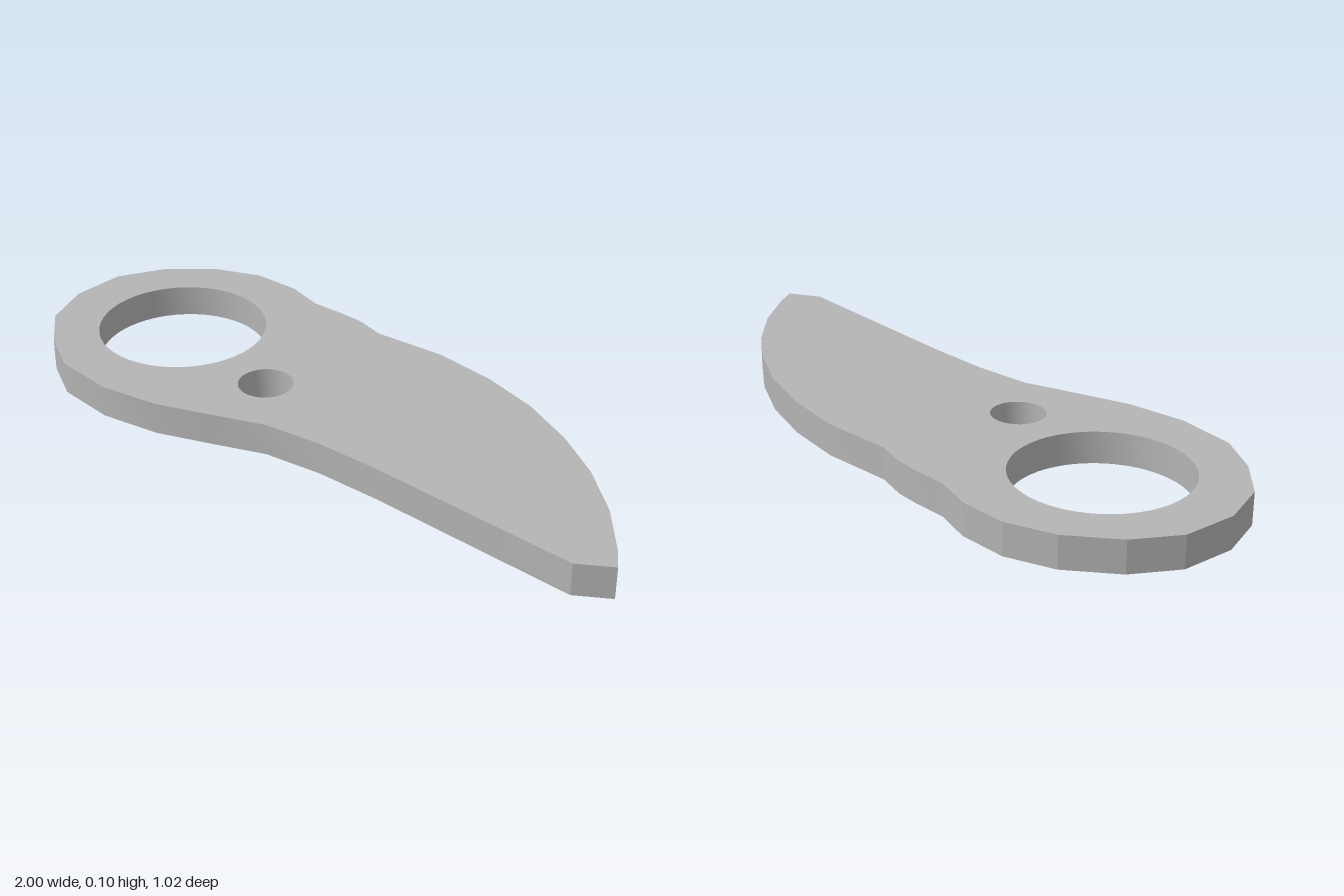
import * as THREE from 'three';
import { toCreasedNormals } from 'three/addons/utils/BufferGeometryUtils.js';

const THICKNESS = 0.097;

// Outline seen from above, as [x, z]
const OUTLINE = [
  // tip and lower edge
  [1, 0.47], [0.895, 0.505], [0.285, 0.343], [0.09, 0.3], [-0.09, 0.28], [-0.26, 0.303],
  // round ring end
  [-0.425, 0.323], [-0.61, 0.31], [-0.785, 0.248], [-0.895, 0.145], [-0.98, 0.015],
  [-1, -0.14], [-0.955, -0.3], [-0.85, -0.41], [-0.7, -0.488], [-0.55, -0.511], [-0.405, -0.48],
  // stepped neck
  [-0.3, -0.422], [-0.195, -0.4], [-0.125, -0.381], [-0.035, -0.335],
  // curved back of the blade
  [0.185, -0.3], [0.365, -0.235], [0.53, -0.145], [0.675, -0.03], [0.795, 0.095],
  [0.9, 0.245], [0.975, 0.4],
];

// Round holes: x, z, radius
const HOLES = [[-0.595, -0.11, 0.255], [-0.2, 0.08, 0.081]];

function circlePath(x, z, r, sides = 48) {
  const points = [];
  for (let i = 0; i < sides; i++) {
    const a = (i / sides) * Math.PI * 2;
    points.push(new THREE.Vector2(x + r * Math.cos(a), -z + r * Math.sin(a)));
  }
  return new THREE.Path(points);
}

export function createModel() {
  const steel = new THREE.MeshStandardMaterial({ color: 0xb4b4b4 });
  steel.name = 'grey steel';

  // Flat plate with a finger hole and a pivot hole
  const shape = new THREE.Shape(OUTLINE.map(([x, z]) => new THREE.Vector2(x, -z)));
  shape.holes = HOLES.map(([x, z, r]) => circlePath(x, z, r));
  const plate = new THREE.ExtrudeGeometry(shape, { depth: THICKNESS, bevelEnabled: false });
  plate.rotateX(-Math.PI / 2);

  // Gentle curves stay smooth, the ring end stays faceted
  const blade = new THREE.Mesh(toCreasedNormals(plate, 0.28), steel);
  blade.name = 'bladePlate';

  const group = new THREE.Group();
  group.name = 'hookedBlade';
  group.add(blade);
  return group;
}
